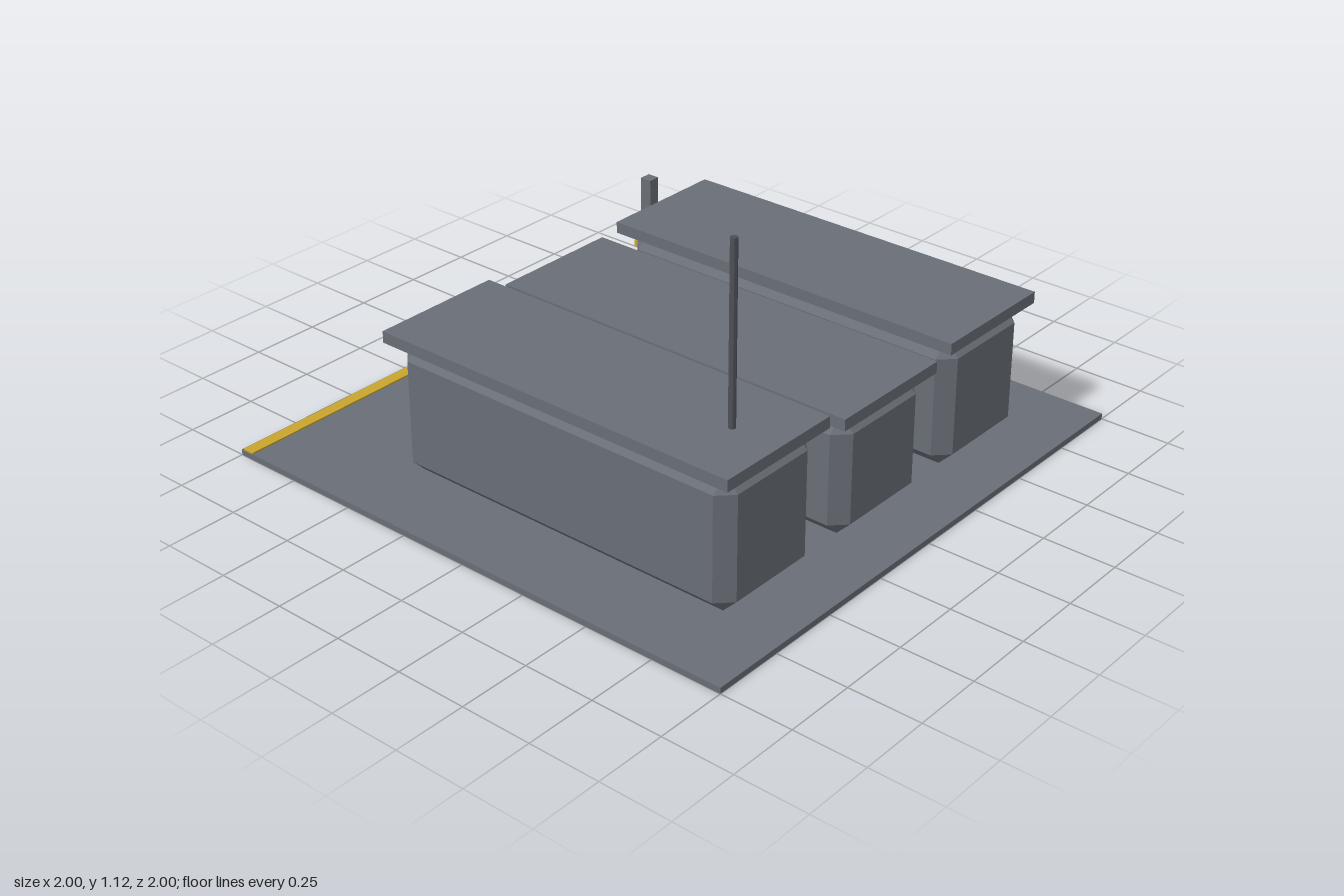
import * as THREE from 'three';
import { ConvexGeometry } from 'three/addons/geometries/ConvexGeometry.js';

const material = (name, color) => Object.assign(new THREE.MeshStandardMaterial({ color, flatShading: true }), { name });

// Box given by its lowest and highest corners
function box(name, mat, [x0, y0, z0], [x1, y1, z1]) {
  const mesh = new THREE.Mesh(new THREE.BoxGeometry(x1 - x0, y1 - y0, z1 - z0), mat);
  mesh.position.set((x0 + x1) / 2, (y0 + y1) / 2, (z0 + z1) / 2);
  mesh.name = name;
  return mesh;
}

// Box with every edge and corner chamfered
function chamferedBox(w, h, d, c) {
  const points = [];
  for (const sx of [-1, 1]) for (const sy of [-1, 1]) for (const sz of [-1, 1]) {
    for (let axis = 0; axis < 3; axis++) {
      const p = [w / 2 - c, h / 2 - c, d / 2 - c];
      p[axis] += c;
      points.push(new THREE.Vector3(p[0] * sx, p[1] * sy, p[2] * sz));
    }
  }
  return new ConvexGeometry(points);
}

export function createModel() {
  const grey = material('slate grey', 0x696e76);
  const dark = material('dark grey', 0x4d5157);
  const yellow = material('warning yellow', 0xc9a52e);
  const model = new THREE.Group();
  model.name = 'compound';

  // Ground slab and painted edge stripe
  model.add(box('groundSlab', grey, [-1, 0, -1], [1, 0.02, 1]));
  model.add(box('edgeStripe', yellow, [-1, 0.02, -0.99], [1, 0.026, -0.947]));

  // Three long huts of different heights
  [[-0.545, 0.48], [0, 0.435], [0.545, 0.465]].forEach(([x, top]) => {
    const hut = new THREE.Group();
    hut.name = 'hut';
    hut.position.x = x;
    const body = new THREE.Mesh(chamferedBox(0.42, top - 0.02, 1.326, 0.05), grey);
    body.name = 'hutBody';
    body.position.set(0, (top + 0.02) / 2, 0.155);
    hut.add(
      body,
      box('roof', grey, [-0.235, top, -0.535], [0.235, top + 0.04, 0.84]),
      box('door', dark, [-0.09, 0.02, -0.524], [0.09, 0.32, -0.495]),
      box('doorLintel', grey, [-0.13, 0.225, -0.53], [0.13, 0.29, -0.5]),
      box('doorLamp', yellow, [-0.018, 0.287, -0.553], [0.018, 0.327, -0.522])
    );
    model.add(hut);
  });

  // Mast on the tallest hut
  const mast = new THREE.Mesh(new THREE.CylinderGeometry(0.012, 0.012, 0.605, 8), dark);
  mast.name = 'mast';
  mast.position.set(-0.545, 0.8225, 0.665);
  model.add(mast);

  // Corner post with two yellow bands
  model.add(box('cornerPost', grey, [0.856, 0.02, -0.902], [0.9, 0.38, -0.857]));
  for (const [y0, y1] of [[0.115, 0.14], [0.165, 0.195]]) {
    model.add(box('postBand', yellow, [0.82, y0, -0.905], [0.932, y1, -0.852]));
  }
  return model;
}
